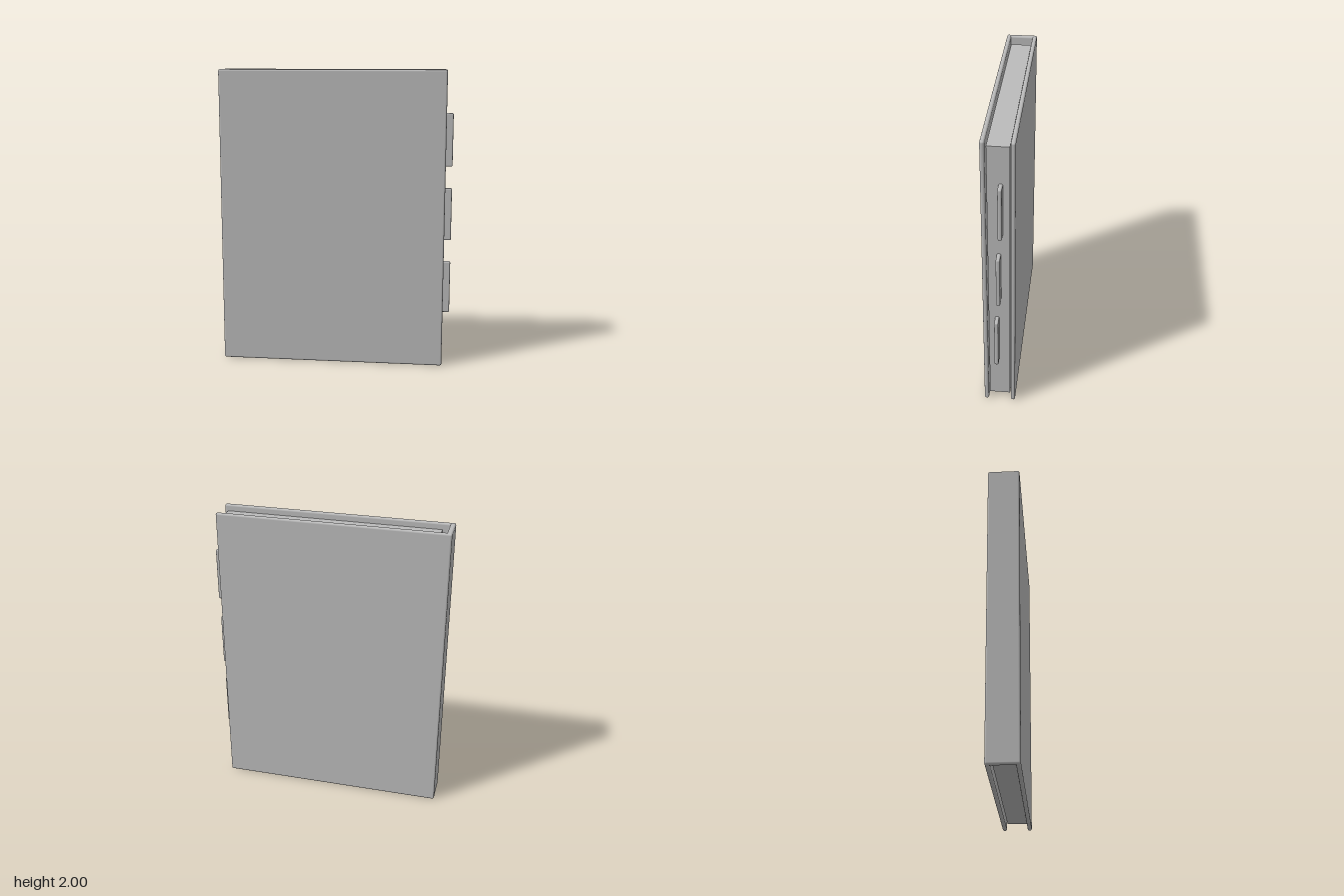
import * as THREE from 'three';
import { RoundedBoxGeometry } from 'three/addons/geometries/RoundedBoxGeometry.js';

export function createModel() {
  const binder = new THREE.Group();
  binder.name = 'ringBinder';

  const grey = new THREE.MeshStandardMaterial({ color: 0xbbbbbb });
  grey.name = 'plain grey';

  function add(name, geometry, x, y, z) {
    const mesh = new THREE.Mesh(geometry, grey);
    mesh.name = name;
    mesh.position.set(x, y, z);
    binder.add(mesh);
    return mesh;
  }

  // box with rounded edges, given by its x range
  function panel(name, x0, x1, height, depth, radius, y, z) {
    const geometry = new RoundedBoxGeometry(x1 - x0, height, depth, 4, radius);
    return add(name, geometry, (x0 + x1) / 2, y, z);
  }

  // covers and spine
  panel('frontCover', -0.78, 0.735, 2, 0.029, 0.012, 1, 0.0885);
  panel('backCover', -0.78, 0.735, 2, 0.029, 0.012, 1, -0.0885);
  panel('spine', -0.78, -0.746, 2, 0.206, 0.012, 1, 0);

  // block of pages
  add('pages', new THREE.BoxGeometry(1.41, 1.915, 0.136), 0.005, 1.0025, 0);

  // rings standing between the spine and the pages, with index tabs opposite
  for (let i = 0; i < 3; i++) {
    const ring = add('ring', new THREE.TorusGeometry(0.073, 0.009, 12, 40), -0.72, 0.5 + 0.5 * i, 0);
    ring.rotation.y = Math.PI / 2;
    panel('indexTab', 0.67, 0.78, 0.355, 0.026, 0.009, 0.5375 + 0.5 * i, 0.014 * (1 - i));
  }

  return binder;
}
